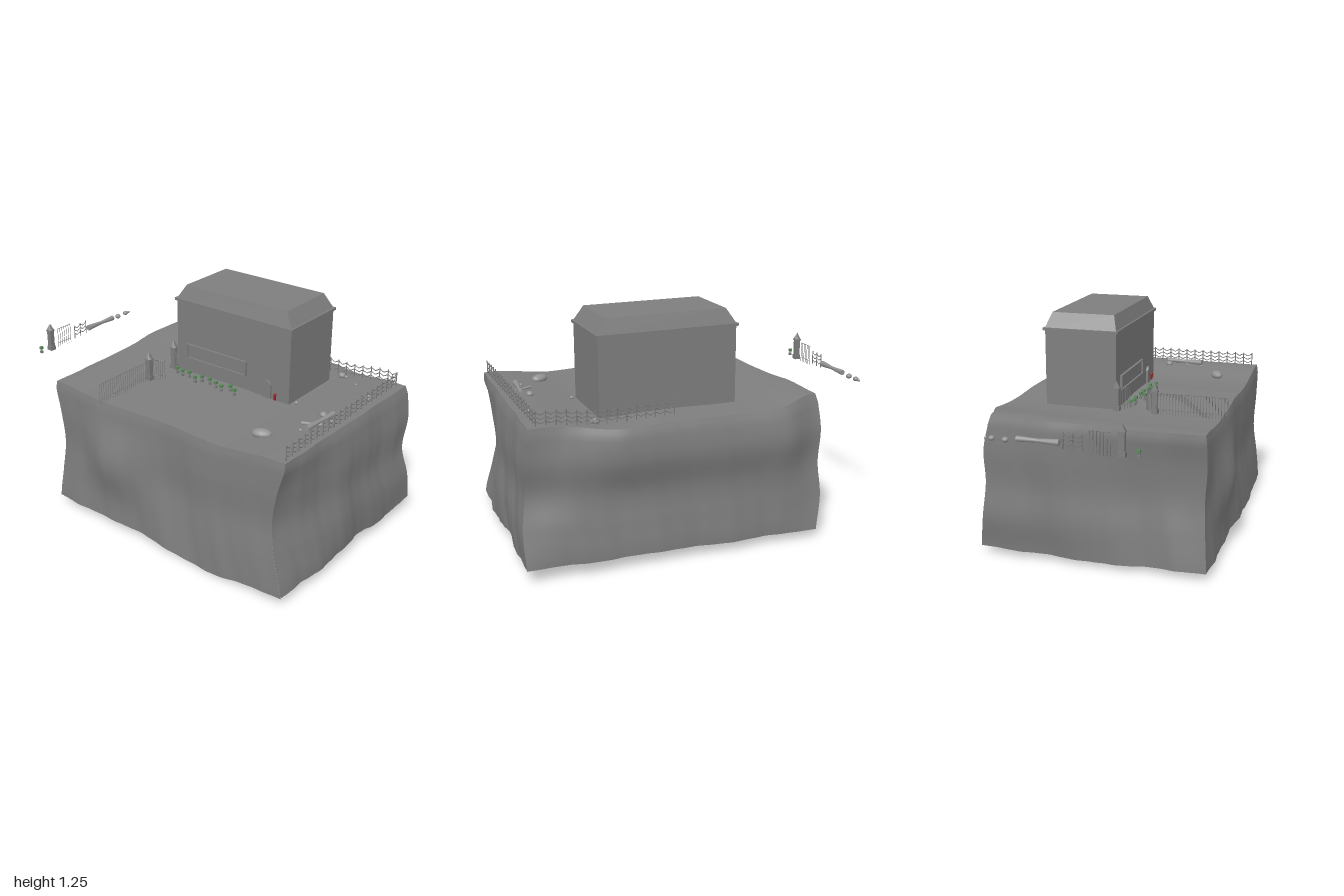
import * as THREE from 'three';

const grey = new THREE.MeshStandardMaterial({ color: 0x7e7e7e });
const thin = new THREE.MeshStandardMaterial({ color: 0x7e7e7e, side: THREE.DoubleSide });
const pale = new THREE.MeshStandardMaterial({ color: 0x929292 });
const green = new THREE.MeshStandardMaterial({ color: 0x5a8a5a });
const red = new THREE.MeshStandardMaterial({ color: 0xa01818 });

const GROUND = 0.757;
const { smoothstep, lerp } = THREE.MathUtils;
const gauss = (x, c, w) => Math.exp(-(((x - c) / w) ** 2));
const height = (x, z) => GROUND - 0.004 + 0.026 * smoothstep(x, 0.5, 0.85)
  + 0.022 * (1 - smoothstep(x, -0.6, -0.25)) * (1 - smoothstep(z, -0.6, 0.3))
  + 0.012 * (1 - smoothstep(x, -0.6, -0.4)) + 0.004 * Math.sin(x * 9);

function add(parent, name, geometry, x = 0, y = 0, z = 0, material = grey) {
  const m = new THREE.Mesh(geometry, material);
  m.name = name;
  m.position.set(x, y, z);
  parent.add(m);
  return m;
}
const box = (p, name, w, h, d, x, y, z, mat) => add(p, name, new THREE.BoxGeometry(w, h, d), x, y, z, mat);

// Tapered round bar between two points
function bar(parent, name, a, b, r0, r1 = r0, sides = 4, material = grey) {
  const from = new THREE.Vector3(...a), dir = new THREE.Vector3(...b).sub(from);
  const m = add(parent, name, new THREE.CylinderGeometry(r1, r0, dir.length(), sides), 0, 0, 0, material);
  m.position.copy(from).addScaledVector(dir, 0.5);
  m.quaternion.setFromUnitVectors(new THREE.Vector3(0, 1, 0), dir.normalize());
}

// Grid surface from a rule f(u, v) -> [x, y, z]
function surface(nu, nv, f) {
  const pos = [], index = [];
  for (let j = 0; j <= nv; j++) for (let i = 0; i <= nu; i++) pos.push(...f(i / nu, j / nv));
  for (let j = 0; j < nv; j++) for (let i = 0; i < nu; i++) {
    const a = j * (nu + 1) + i, b = a + nu + 1;
    index.push(a, a + 1, b + 1, a, b + 1, b);
  }
  const g = new THREE.BufferGeometry();
  g.setAttribute('position', new THREE.Float32BufferAttribute(pos, 3));
  g.setIndex(index);
  g.computeVertexNormals();
  return g;
}

// Wavy corner columns of the cliff: [x, z] from bottom to top
const corners = [
  [[-0.615, 0.585], [-0.592, 0.572], [-0.57, 0.562], [-0.577, 0.572], [-0.61, 0.572]],
  [[0.93, 0.592], [0.882, 0.583], [0.847, 0.565], [0.87, 0.57], [0.915, 0.568]],
  [[0.985, -0.6], [0.988, -0.555], [0.962, -0.513], [0.968, -0.54], [0.945, -0.545]],
  [[-0.61, -0.648], [-0.642, -0.62], [-0.63, -0.6], [-0.64, -0.6], [-0.63, -0.565]],
].map(c => new THREE.SplineCurve(c.map(q => new THREE.Vector2(...q))));
const rim = u => smoothstep(u, 0, 0.15) * (1 - smoothstep(u, 0.85, 1));
const ripple = (u, v, k) => 0.0055 * (1 - 0.7 * v) * rim(u)
  * (Math.sin(u * 27 + k + 3 * v) + Math.sin(u * 15 + 4 * v + 2 * k) + 0.3 * Math.sin(u * 75 + 5 * v));

// For each wall: outward direction, bulge and bottom edge height
const walls = [
  { n: [0, 1], bulge: (u, v) => 0.07 * gauss(u, 0.28, 0.14) * gauss(v, 0.52, 0.25) + 0.008 * (1 - v),
    low: u => 0.045 - 0.044 * gauss(u, 0.69, 0.14) },
  { n: [1, 0], bulge: (u, v) => Math.sin(v * Math.PI) * (0.02 + 0.03 * gauss(u, 0.45, 0.15)) + 0.01 * Math.sin(6 * u) * (1 - v),
    low: u => 0.048 + 0.025 * gauss(u, 0.5, 0.15) + 0.03 * smoothstep(u, 0.8, 1) },
  { n: [0, -1], bulge: (u, v) => 0.07 * smoothstep(v, 0.3, 1) * smoothstep(u, 0.1, 0.32) + 0.035 * Math.sin(v * Math.PI),
    low: u => lerp(0.078, 0.045, u) },
  { n: [-1, 0], bulge: (u, v) => 0.018 * v * gauss(u, 0.25, 0.15) + 0.012 * Math.sin(v * Math.PI) * Math.sin(5 * u),
    low: u => 0.045 - 0.015 * gauss(u, 0.5, 0.3) },
];
function wallPoint(i, u, v) {
  const w = walls[i], p = corners[i].getPoint(v).lerp(corners[(i + 1) % 4].getPoint(v), u);
  const out = rim(u) * w.bulge(u, v) + ripple(u, v, i), shrink = 1 - 0.012 * smoothstep(v, 0.94, 1);
  const x = 0.16 + (p.x + w.n[0] * out - 0.16) * shrink;
  const z = (p.y + w.n[1] * out) * shrink;
  return [x, lerp(w.low(u), height(x, z), v), z];
}
// Ground blended between the four rims
function groundPoint(s, t) {
  const F = wallPoint(0, s, 1), R = wallPoint(1, t, 1), B = wallPoint(2, 1 - s, 1), L = wallPoint(3, 1 - t, 1);
  const [fl, fr, br, bl] = [0, 1, 2, 3].map(i => wallPoint(i, 0, 1));
  const c = k => (1 - t) * F[k] + t * B[k] + (1 - s) * L[k] + s * R[k]
    - (1 - s) * (1 - t) * fl[k] - s * (1 - t) * fr[k] - s * t * br[k] - (1 - s) * t * bl[k];
  return [c(0), height(c(0), c(2)), c(2)];
}

// Square gate pillar with base, cap and pointed top
function pillar(parent, x, z) {
  const g = new THREE.Group();
  g.name = 'gatePillar';
  g.position.set(x, GROUND - 0.005, z);
  box(g, 'pillarBase', 0.034, 0.025, 0.034, 0, 0.0125, 0);
  box(g, 'pillarShaft', 0.028, 0.11, 0.028, 0, 0.07, 0);
  box(g, 'pillarCap', 0.034, 0.008, 0.034, 0, 0.121, 0);
  add(g, 'pillarPoint', new THREE.ConeGeometry(0.022, 0.04, 4).rotateY(Math.PI / 4), 0, 0.144, 0);
  parent.add(g);
}
// Straight run of upright iron bars with two rails
function railing(parent, name, a, b, step = 0.0165) {
  const g = new THREE.Group();
  g.name = name;
  const n = Math.round(Math.hypot(b[0] - a[0], b[1] - a[1]) / step);
  for (let i = 0; i <= n; i++) {
    const x = lerp(a[0], b[0], i / n), z = lerp(a[1], b[1], i / n);
    bar(g, 'upright', [x, 0.75, z], [x, 0.866, z], 0.0017);
  }
  for (const y of [0.775, 0.864]) bar(g, 'rail', [a[0], y, a[1]], [b[0], y, b[1]], 0.0015);
  parent.add(g);
}
// Fence of posts joined by sagging chevron rails
function chevronFence(parent, a, b, n) {
  const g = new THREE.Group();
  g.name = 'chevronFence';
  const at = (t, y) => {
    const x = lerp(a[0], b[0], t), z = lerp(a[1], b[1], t);
    return [x, Math.max(height(x, z), GROUND) + y, z];
  };
  for (let i = 0; i <= n; i++) {
    bar(g, 'post', at(i / n, -0.005), at(i / n, 0.077), 0.003);
    if (i < n) for (const y of [0.026, 0.048, 0.07]) {
      const mid = at((i + 0.5) / n, y - 0.014);
      bar(g, 'rail', at(i / n, y), mid, 0.0025);
      bar(g, 'rail', mid, at((i + 1) / n, y), 0.0025);
    }
  }
  parent.add(g);
}
function rock(parent, x, z, r, sx = 1, sy = 0.8, turn = 0) {
  const y = Math.max(height(x, z), GROUND) + r * sy * 0.4;
  const m = add(parent, 'rock', new THREE.SphereGeometry(r, 12, 8), x, y, z, pale);
  m.scale.set(sx, sy, 1);
  m.rotation.y = turn;
}
function log(parent, a, b, r) {
  const y = Math.max(height(...a), GROUND) + r;
  const p = t => [lerp(a[0], b[0], t), y, lerp(a[1], b[1], t)];
  bar(parent, 'log', p(0), p(0.5), r, r * 0.65, 9, pale);
  bar(parent, 'log', p(0.5), p(1), r * 0.65, r * 1.15, 9, pale);
}
// Small potted plant with a block of leaves
function plant(parent, x, z) {
  box(parent, 'plantPot', 0.014, 0.014, 0.014, x, GROUND + 0.006, z);
  bar(parent, 'plantStem', [x, GROUND, z], [x, GROUND + 0.025, z], 0.003);
  box(parent, 'plantLeaves', 0.017, 0.016, 0.017, x, GROUND + 0.031, z, green);
}

export function createModel() {
  const model = new THREE.Group();

  // Hollow cliff block
  walls.forEach((_, i) => add(model, 'cliffWall', surface(64, 32, (u, v) => wallPoint(i, u, v)), 0, 0, 0, thin));
  add(model, 'ground', surface(64, 48, groundPoint), 0, 0, 0, thin);

  // House with cornice and hipped flat-top roof
  const house = new THREE.Group();
  house.name = 'house';
  house.position.set(0.158, 0, -0.21);
  box(house, 'houseWalls', 0.755, 0.425, 0.398, 0, 0.9525, 0);
  box(house, 'cornice', 0.774, 0.014, 0.42, 0, 1.168, 0);
  const roof = new THREE.BoxGeometry(0.755, 0.078, 0.4);
  const p = roof.attributes.position;
  for (let i = 0; i < p.count; i++) if (p.getY(i) > 0) p.setXYZ(i, p.getX(i) * 0.87, p.getY(i), p.getZ(i) * 0.87);
  roof.computeVertexNormals();
  add(house, 'roof', roof, 0, 1.213, 0);
  model.add(house);

  // Framed wall panel
  box(model, 'wallPanel', 0.4, 0.08, 0.006, 0.058, 0.88, -0.01);
  for (const s of [-1, 1]) {
    box(model, 'panelFrame', 0.406, 0.006, 0.016, 0.058, 0.88 + s * 0.039, -0.005);
    box(model, 'panelFrame', 0.006, 0.084, 0.016, 0.058 + s * 0.2, 0.88, -0.005);
  }

  // Arched door
  const arch = new THREE.Shape();
  arch.moveTo(-0.028, 0);
  arch.lineTo(0.028, 0);
  arch.lineTo(0.028, 0.068);
  arch.absarc(0, 0.068, 0.028, 0, Math.PI);
  add(model, 'door', new THREE.ExtrudeGeometry(arch, { depth: 0.016, bevelEnabled: false }), 0.398, GROUND - 0.002, -0.014);

  // Red hydrant beside the door
  add(model, 'hydrant', new THREE.CylinderGeometry(0.007, 0.007, 0.028, 10), 0.455, 0.772, 0, red);
  add(model, 'hydrantCap', new THREE.SphereGeometry(0.008, 10, 6), 0.455, 0.788, 0, red);

  // Gate, pillars and fences
  pillar(model, -0.24, 0);
  pillar(model, -0.24, 0.21);
  railing(model, 'gateLeaf', [-0.24, 0], [-0.175, 0.05], 0.012);
  railing(model, 'gateLeaf', [-0.24, 0.21], [-0.18, 0.15], 0.012);
  railing(model, 'frontRailing', [-0.24, 0.21], [-0.24, 0.6]);
  chevronFence(model, [0.89, 0.53], [0.89, -0.512], 20);
  chevronFence(model, [0.89, -0.512], [0.17, -0.512], 14);

  // Plants, rocks and logs on the ground
  const plants = [[-0.17, 0.055], [-0.125, 0.065], [-0.08, 0.06], [-0.015, 0.09], [0.01, 0.06],
    [0.065, 0.06], [0.118, 0.075], [0.167, 0.09], [0.205, 0.06], [0.252, 0.085]];
  for (const [x, z] of plants) plant(model, x, z);
  rock(model, 0.632, 0.362, 0.033, 1.6, 0.75, 0.45);
  const rocks = [[0.575, -0.48, 0.02], [0.602, -0.48, 0.011], [0.707, -0.405, 0.008], [0.86, -0.27, 0.021],
    [0.775, 0.03, 0.02], [0.845, 0.065, 0.011], [0.565, -0.04, 0.011], [0.773, 0.235, 0.01]];
  for (const [x, z, r] of rocks) rock(model, x, z, r);
  log(model, [0.822, 0.01], [0.803, 0.23], 0.015);
  log(model, [0.735, 0.17], [0.83, 0.12], 0.009);

  // Separate row of single pieces floating at the side
  const spare = new THREE.Group();
  spare.name = 'spareRow';
  const X = -0.975;
  for (const [z, r] of [[-0.42, 0.008], [-0.39, 0.016], [-0.32, 0.017]]) rock(spare, X - 0.008, z, r);
  log(spare, [X, -0.265], [X, -0.05], 0.015);
  chevronFence(spare, [X, -0.03], [X, 0.065], 2);
  railing(spare, 'spareRailing', [X, 0.1], [X, 0.2]);
  pillar(spare, X, 0.257);
  plant(spare, X, 0.335);
  model.add(spare);

  return model;
}
